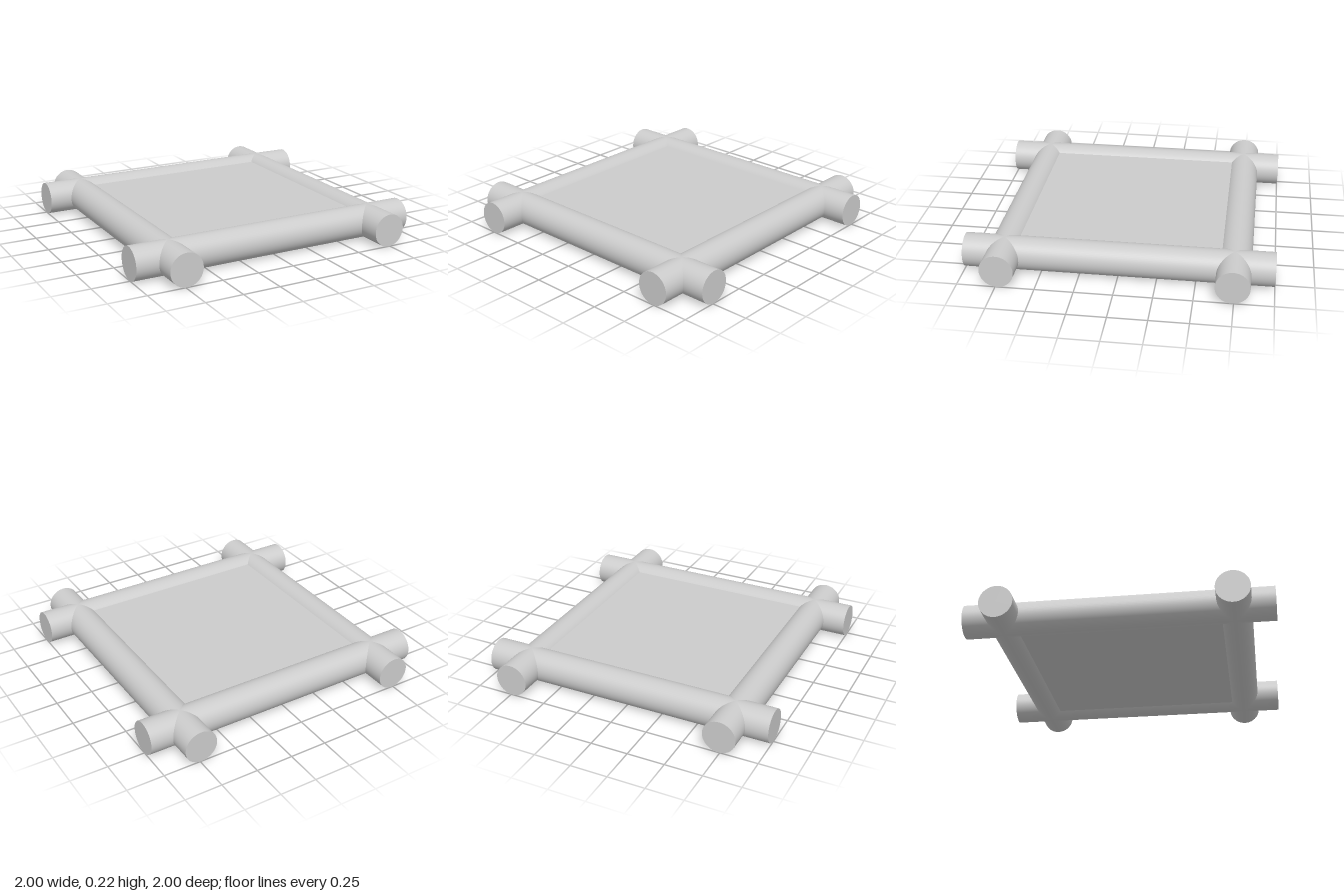
import * as THREE from 'three';

export function createModel() {
  const group = new THREE.Group();
  const material = new THREE.MeshStandardMaterial({ color: 0xcccccc });
  const radius = 0.11, offset = 0.74, length = 2;

  // Four crossing round rails, all at the same height
  const railGeometry = new THREE.CylinderGeometry(radius, radius, length, 64);
  const addRail = (name, x, z, alongX) => {
    const rail = new THREE.Mesh(railGeometry, material);
    rail.name = name;
    rail.position.set(x, radius, z);
    if (alongX) rail.rotation.z = Math.PI / 2;
    else rail.rotation.x = Math.PI / 2;
    group.add(rail);
  };
  addRail('frontRail', 0, offset, true);
  addRail('backRail', 0, -offset, true);
  addRail('leftRail', offset, 0, false);
  addRail('rightRail', -offset, 0, false);

  // Flat panel set into the rails, its edges hidden inside them
  const panel = new THREE.Mesh(new THREE.BoxGeometry(2 * offset, 0.145, 2 * offset), material);
  panel.name = 'panel';
  panel.position.y = radius;
  group.add(panel);

  return group;
}
